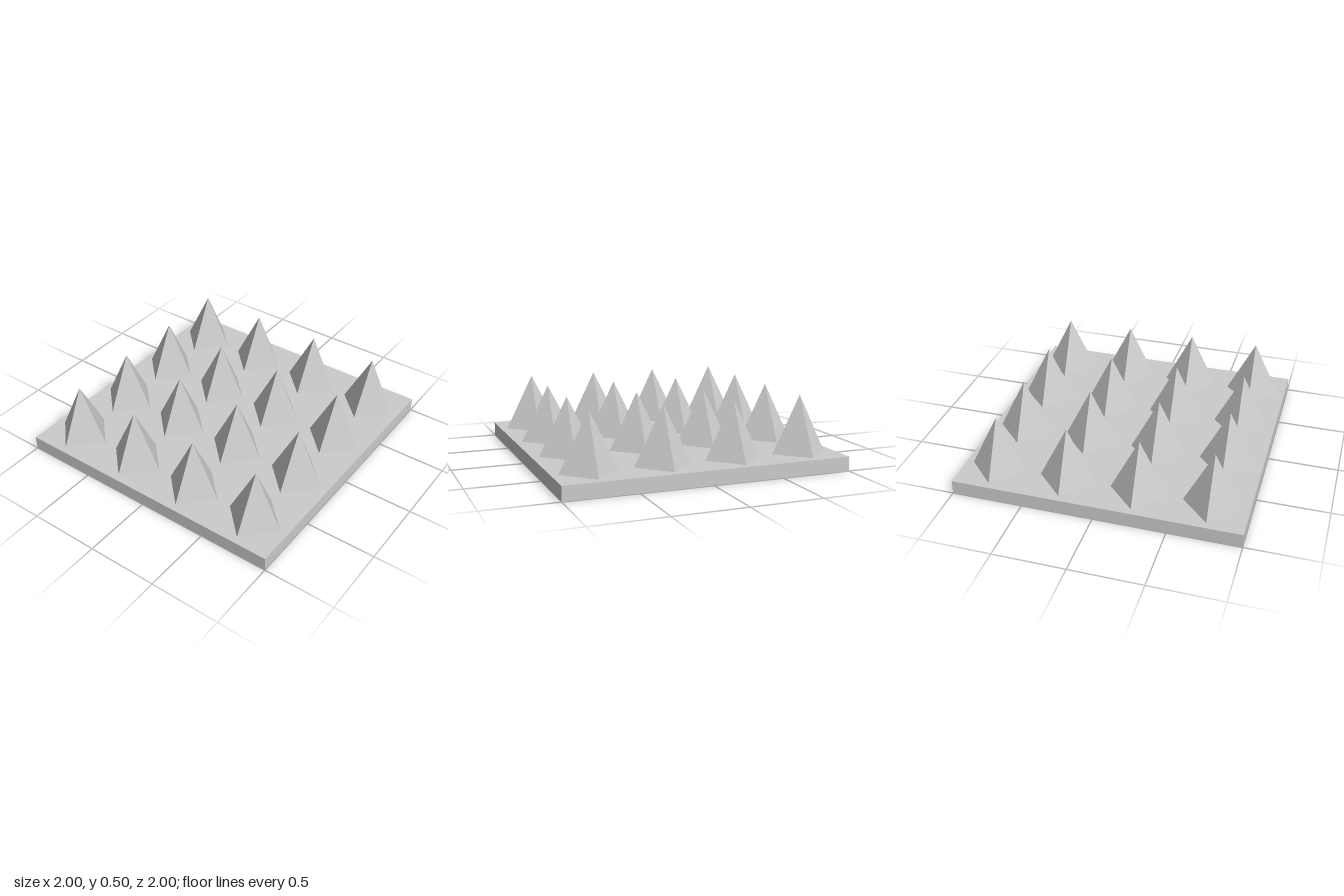
import * as THREE from 'three';

export function createModel() {
  const model = new THREE.Group();
  model.name = 'spikePlate';
  const material = new THREE.MeshStandardMaterial({ color: 0xcccccc, flatShading: true });

  // Square base plate
  const plateHeight = 0.1;
  const plate = new THREE.Mesh(new THREE.BoxGeometry(2, plateHeight, 2), material);
  plate.name = 'basePlate';
  plate.position.y = plateHeight / 2;
  model.add(plate);

  // 4 x 4 grid of four-sided spikes, corners pointing along x and z
  const spikes = new THREE.Group();
  spikes.name = 'spikes';
  const count = 4, spacing = 0.5, spikeHeight = 0.4;
  const spikeGeometry = new THREE.ConeGeometry(0.2, spikeHeight, 4);
  for (let row = 0; row < count; row++) {
    for (let col = 0; col < count; col++) {
      const spike = new THREE.Mesh(spikeGeometry, material);
      spike.name = `spike_${row + 1}_${col + 1}`;
      spike.position.set(
        (col - (count - 1) / 2) * spacing,
        plateHeight + spikeHeight / 2,
        (row - (count - 1) / 2) * spacing
      );
      spikes.add(spike);
    }
  }
  model.add(spikes);
  return model;
}
